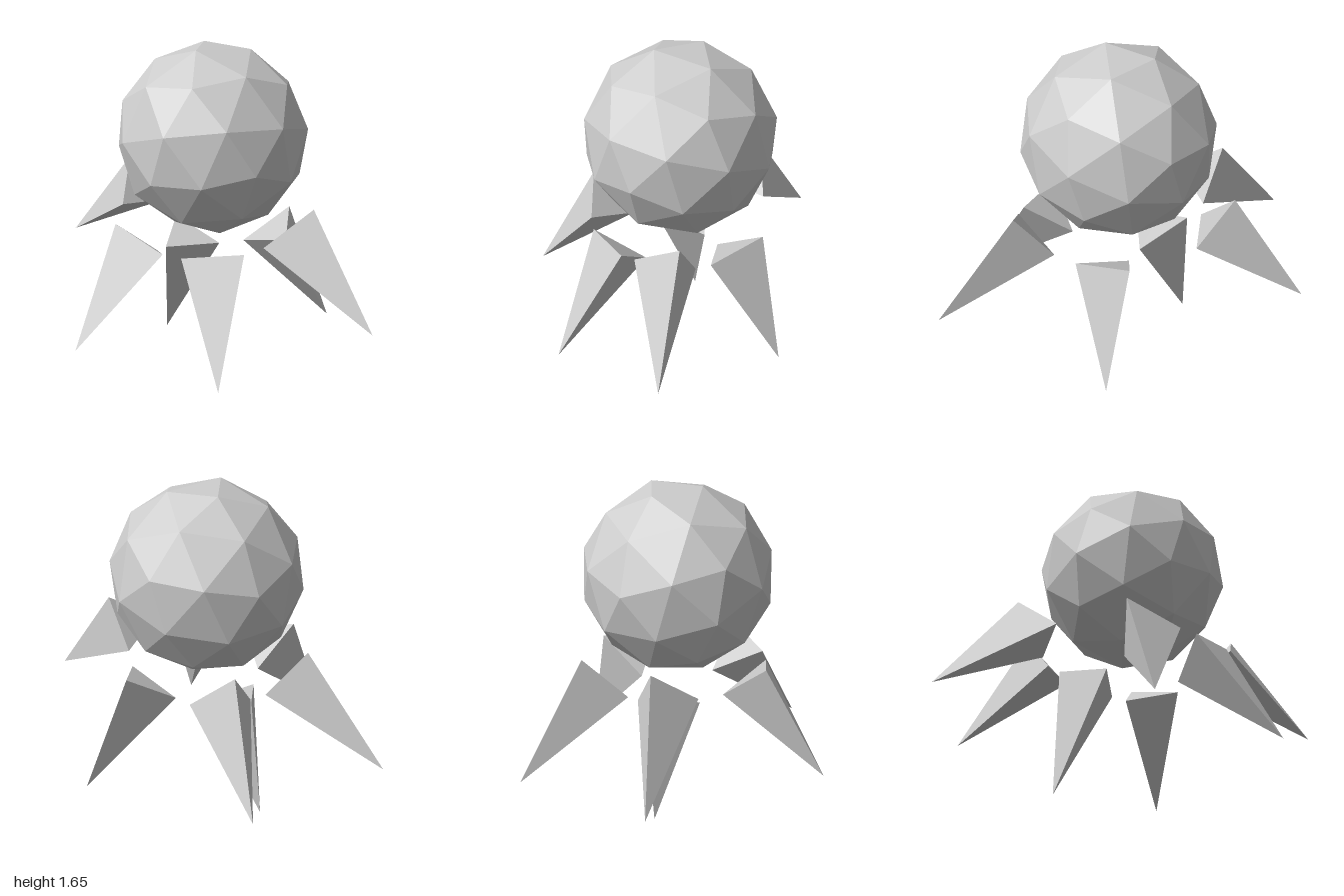
import * as THREE from 'three';

const material = new THREE.MeshStandardMaterial({ color: 0xcccccc, flatShading: true });

// Each spike: tip, centre of its triangular base, one corner of that base
const SPIKES = {
  leftSpike: [[0.995, 0.44, -0.016], [0.495, 0.816, -0.037], [0.6, 0.947, -0.088]],
  rightSpike: [[-1.0, 0.44, -0.064], [-0.493, 0.814, -0.06], [-0.593, 0.947, -0.096]],
  frontRightSpike: [[-0.233, 0.243, 0.712], [-0.106, 0.723, 0.328], [-0.23, 0.818, 0.407]],
  frontLeftSpike: [[0.506, 0.197, 0.52], [0.247, 0.689, 0.222], [0.406, 0.76, 0.2]],
  backLeftSpike: [[0.383, 0.132, -0.583], [0.197, 0.67, -0.318], [0.19, 0.743, -0.477]],
  backRightSpike: [[-0.688, 0.384, -0.715], [-0.327, 0.783, -0.393], [-0.42, 0.915, -0.455]],
  lowerSpike: [[-0.37, 0.0, -0.127], [-0.192, 0.605, -0.093], [-0.326, 0.652, -0.17]],
};

// Three-sided pyramid aimed from its base centre to its tip
function makeSpike(name, points) {
  const [tip, centre, corner] = points.map((p) => new THREE.Vector3(...p));
  const axis = tip.clone().sub(centre);
  const height = axis.length();
  axis.normalize();
  const toCorner = corner.sub(centre).projectOnPlane(axis).normalize();
  const side = new THREE.Vector3().crossVectors(axis, toCorner);

  const geometry = new THREE.ConeGeometry(0.174, height, 3);
  geometry.translate(0, height / 2, 0);
  const spike = new THREE.Mesh(geometry, material);
  spike.name = name;
  spike.quaternion.setFromRotationMatrix(new THREE.Matrix4().makeBasis(side, axis, toCorner));
  spike.position.copy(centre);
  return spike;
}

export function createModel() {
  const model = new THREE.Group();
  model.name = 'spikedBall';

  // Faceted ball: a vertex is turned to the front, then tipped slightly down
  const ballGeometry = new THREE.IcosahedronGeometry(0.476, 1);
  ballGeometry.rotateX(Math.atan(2 / (1 + Math.sqrt(5))));
  ballGeometry.rotateZ(THREE.MathUtils.degToRad(18));
  ballGeometry.rotateX(THREE.MathUtils.degToRad(15));
  const ball = new THREE.Mesh(ballGeometry, material);
  ball.name = 'ball';
  ball.position.set(0.003, 1.193, -0.056);
  model.add(ball);

  // Ring of spikes splayed out below the ball
  for (const [name, points] of Object.entries(SPIKES)) model.add(makeSpike(name, points));

  return model;
}
